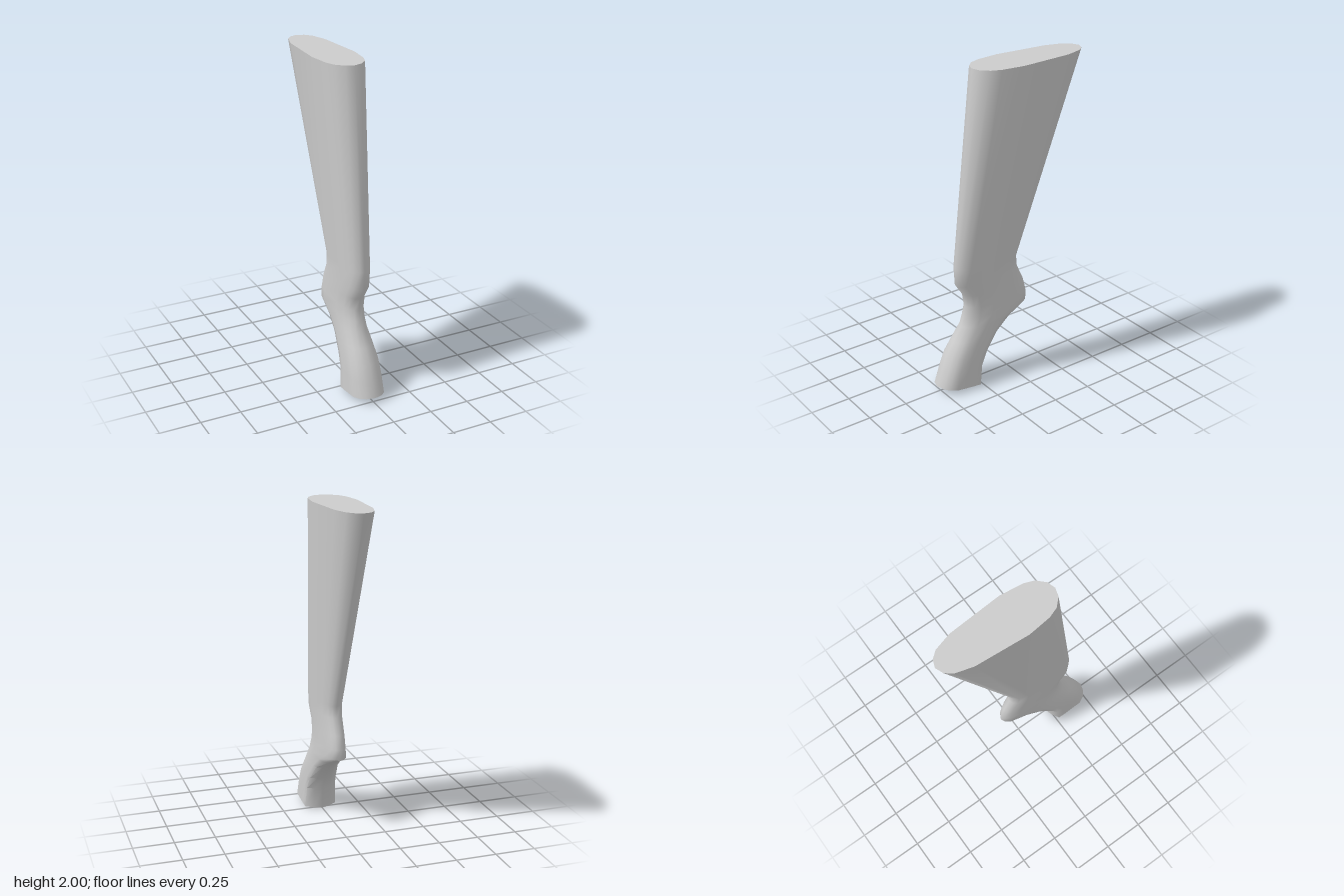
import * as THREE from 'three';
import { toCreasedNormals } from 'three/addons/utils/BufferGeometryUtils.js';

// Half outlines from front to back: [depth fraction, width fraction]
const BUTT = [[0, 0], [0.02, 0.37], [0.08, 0.71], [0.16, 0.88], [0.345, 1], [0.78, 0.83], [0.92, 0.6], [0.975, 0.35], [1, 0]];
const WRIST = [[0, 0], [0.05, 0.5], [0.14, 0.8], [0.28, 1], [0.5, 1], [0.72, 1], [0.86, 0.98], [0.95, 0.5], [1, 0]];

// Stations, top to bottom: front z, front y, back z, back y, half width, blend from butt to wrist outline
const STATIONS = [
  [0.238, 2, -0.526, 2, 0.135, 0],
  [0.378, 0.8, -0.063, 0.77, 0.075, 0],
  [0.372, 0.68, -0.07, 0.7, 0.072, 0],
  [0.323, 0.605, -0.116, 0.6, 0.07, 0],
  [0.312, 0.525, -0.138, 0.515, 0.07, 0.1],
  [0.328, 0.46, -0.138, 0.45, 0.072, 0.2],
  [0.344, 0.4, -0.01, 0.39, 0.076, 0.4],
  [0.4, 0.31, 0.09, 0.323, 0.085, 0.6],
  [0.455, 0.222, 0.175, 0.22, 0.095, 0.8],
  [0.49, 0.13, 0.217, 0.137, 0.099, 0.9],
  [0.526, 0.038, 0.228, 0, 0.102, 1],
];

// One closed cross-section: front, +x side, back, -x side
function ring([fz, fy, bz, by, w, blend]) {
  const half = BUTT.map(([t, x], i) => {
    const d = THREE.MathUtils.lerp(t, WRIST[i][0], blend);
    const s = THREE.MathUtils.lerp(x, WRIST[i][1], blend);
    return [s * w, fy + (by - fy) * d, fz + (bz - fz) * d];
  });
  const mirrored = half.slice(1, -1).reverse().map(([x, y, z]) => [-x, y, z]);
  return [...half, ...mirrored];
}

function loft(rings) {
  const n = rings[0].length, last = rings.length - 1;
  const points = rings.flat();
  const index = [];
  for (let i = 0; i < last; i++) {
    for (let j = 0; j < n; j++) {
      const k = (j + 1) % n;
      const a = i * n + j, b = i * n + k, c = a + n, d = b + n;
      index.push(a, c, b, b, c, d);
    }
  }
  // Flat end caps
  for (let j = 1; j < n - 1; j++) {
    index.push(0, j, j + 1);
    index.push(last * n, last * n + j + 1, last * n + j);
  }
  const geo = new THREE.BufferGeometry();
  geo.setAttribute('position', new THREE.Float32BufferAttribute(points.flat(), 3));
  geo.setIndex(index);
  return toCreasedNormals(geo, 1.05);
}

export function createModel() {
  const group = new THREE.Group();
  group.name = 'stock';
  // Butt, grip hump and wrist form one continuous body
  const body = new THREE.Mesh(
    loft(STATIONS.map(ring)),
    new THREE.MeshStandardMaterial({ color: 0xcccccc })
  );
  body.name = 'stockBody';
  group.add(body);
  return group;
}
